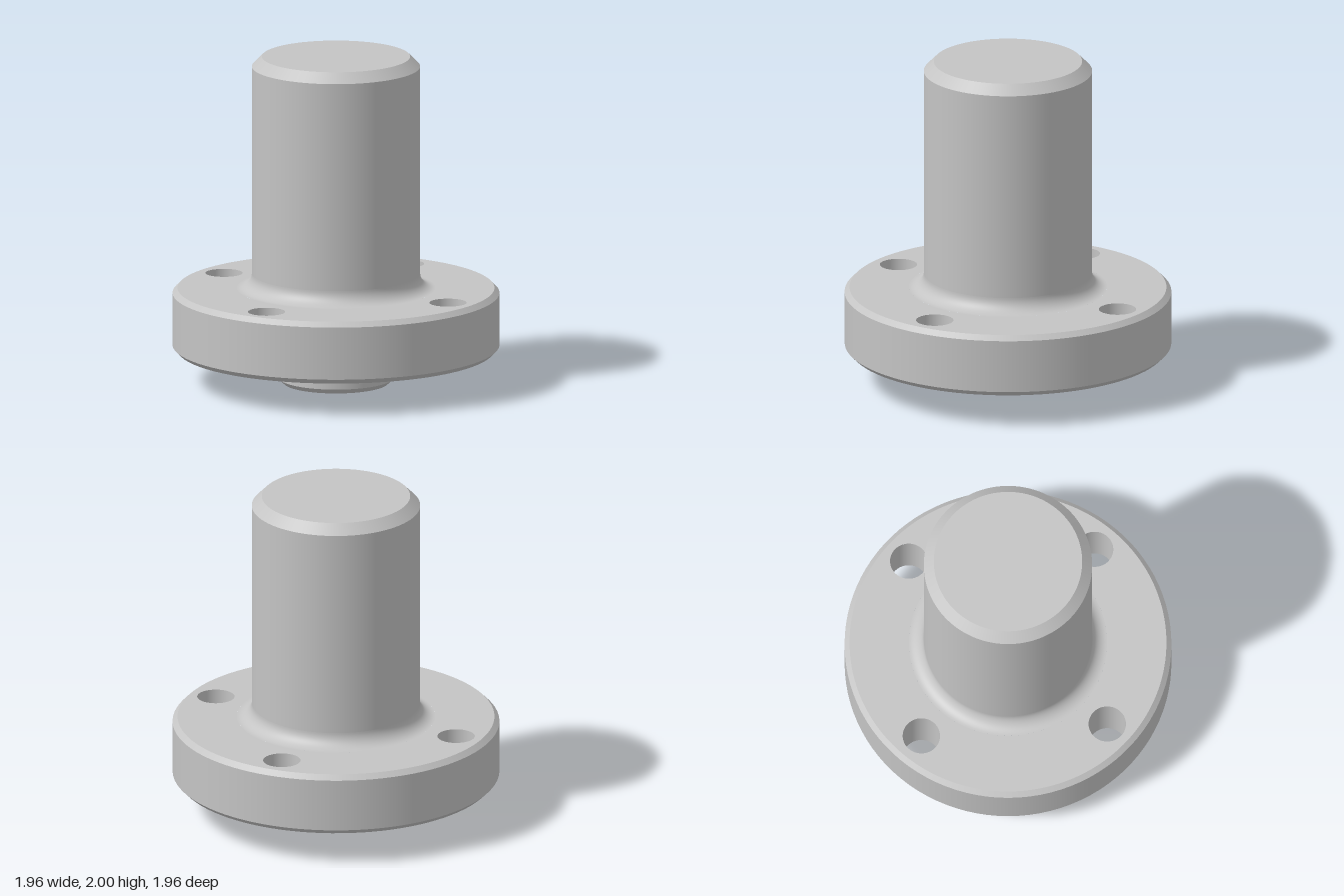
import * as THREE from 'three';
import { mergeGeometries } from 'three/addons/utils/BufferGeometryUtils.js';

const SEGMENTS = 96;
const HOLE_RADIUS = 0.112, HOLE_CIRCLE = 0.79;
const FLANGE_BOTTOM = 0.2, FLANGE_TOP = 0.58;

// Revolve each section on its own, so edges between sections stay sharp.
function revolve(...sections) {
  return mergeGeometries(sections.map((points) =>
    new THREE.LatheGeometry(points.map(([r, y]) => new THREE.Vector2(r, y)), SEGMENTS)));
}

// Split a straight-sided profile into one section per edge.
const edges = (profile) => profile.slice(1).map((p, i) => [profile[i], p]);

const holeCentres = [0, 1, 2, 3].map((i) => {
  const a = (i * Math.PI) / 2;
  return [HOLE_CIRCLE * Math.cos(a), HOLE_CIRCLE * Math.sin(a)];
});

// Flat ring pierced by the bolt holes, facing up or down.
function flangeFace(outer, inner, y, up) {
  const shape = new THREE.Shape().absarc(0, 0, outer, 0, Math.PI * 2);
  for (const [x, z, r] of [[0, 0, inner], ...holeCentres.map((c) => [...c, HOLE_RADIUS])]) {
    shape.holes.push(new THREE.Path().absarc(x, z, r, 0, Math.PI * 2, true));
  }
  return new THREE.ShapeGeometry(shape, SEGMENTS)
    .rotateX(up ? -Math.PI / 2 : Math.PI / 2)
    .translate(0, y, 0);
}

export function createModel() {
  const model = new THREE.Group();
  model.name = 'flangedShaft';
  const steel = new THREE.MeshStandardMaterial({ color: 0xc4c4c4 });
  steel.name = 'grey steel';

  function add(name, geometry, parent = model) {
    const mesh = new THREE.Mesh(geometry, steel);
    mesh.name = name;
    parent.add(mesh);
    return mesh;
  }

  // Locating spigot under the flange
  add('spigot', revolve(...edges([[0, 0], [0.315, 0], [0.345, 0.03], [0.345, FLANGE_BOTTOM]])));

  // Flange: chamfered rim, two pierced faces and the bolt hole walls
  const flange = new THREE.Group();
  flange.name = 'flange';
  model.add(flange);
  add('flangeRim', revolve(...edges([
    [0.95, FLANGE_BOTTOM], [0.98, 0.23], [0.98, 0.55], [0.95, FLANGE_TOP],
  ])), flange);
  add('flangeTop', flangeFace(0.95, 0.595, FLANGE_TOP, true), flange);
  add('flangeUnderside', flangeFace(0.95, 0.345, FLANGE_BOTTOM, false), flange);
  for (const [x, z] of holeCentres) {
    // Profile runs downwards so the wall faces into the hole
    add('boltHole', revolve([[HOLE_RADIUS, FLANGE_TOP], [HOLE_RADIUS, FLANGE_BOTTOM]]), flange)
      .position.set(x, 0, z);
  }

  // Concave fillet between flange and shaft
  const fillet = [];
  for (let i = 0; i <= 16; i++) {
    const a = -Math.PI / 2 - (i / 16) * (Math.PI / 2);
    fillet.push([0.595 + 0.09 * Math.cos(a), 0.67 + 0.09 * Math.sin(a)]);
  }
  add('shaftFillet', revolve(fillet));

  // Shaft with chamfered end
  add('shaft', revolve(...edges([[0.505, 0.67], [0.505, 1.94], [0.445, 2], [0, 2]])));

  return model;
}
